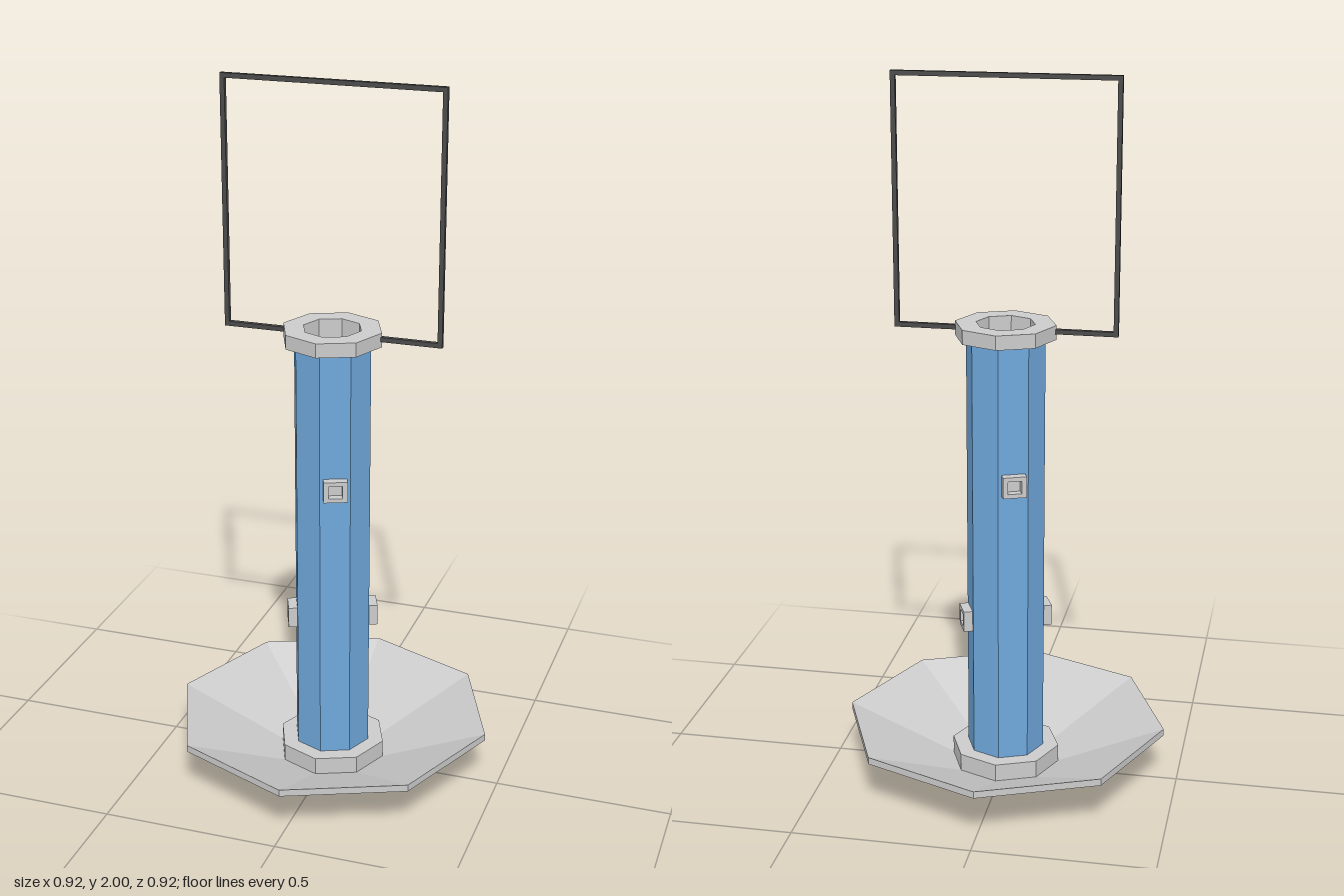
import * as THREE from 'three';

const SIDES = 8;
const grey = new THREE.MeshStandardMaterial({ color: 0xcccccc, flatShading: true });
const blue = new THREE.MeshStandardMaterial({ color: 0x6fa8dc, flatShading: true });
const dark = new THREE.MeshStandardMaterial({ color: 0x4a4a4a, flatShading: true });

export function createModel() {
  const model = new THREE.Group();
  model.name = 'hangingFeeder';

  const add = (name, geometry, material, parent = model) => {
    const mesh = new THREE.Mesh(geometry, material);
    mesh.name = name;
    parent.add(mesh);
    return mesh;
  };
  // Octagonal turned part; profile is [radius, y], outside going up
  const turned = (name, profile, material) =>
    add(name, new THREE.LatheGeometry(profile.map(([r, y]) => new THREE.Vector2(r, y)), SIDES), material);

  // Shallow tray with a thin upright rim
  turned('tray', [[0, 0], [0.2, 0], [0.46, 0.135], [0.46, 0.155], [0.155, 0.025], [0, 0.025]], grey);

  // Collar holding the tube on the tray
  turned('bottomCollar', [[0.155, 0.025], [0.155, 0.075], [0.1, 0.075]], grey);

  // Seed tube
  turned('tube', [[0.11, 0.05], [0.11, 1.3]], blue);

  // Top collar, open in the middle, with the tube lining and its floor
  turned('topCollar', [[0.1, 1.29], [0.14, 1.29], [0.14, 1.33], [0.082, 1.33], [0.082, 1.29]], grey);
  turned('tubeLining', [[0.082, 1.29], [0.082, 0.06], [0, 0.06]], grey);

  // Feeding ports: square frames on alternate facets, opposite pairs at two heights
  const frame = new THREE.Shape([
    [-0.033, -0.03], [0.033, -0.03], [0.033, 0.03], [-0.033, 0.03],
  ].map(([x, y]) => new THREE.Vector2(x, y)));
  frame.holes.push(new THREE.Path([
    [-0.019, -0.018], [-0.019, 0.018], [0.019, 0.018], [0.019, -0.018],
  ].map(([x, y]) => new THREE.Vector2(x, y))));
  const frameGeometry = new THREE.ExtrudeGeometry(frame, { depth: 0.037, bevelEnabled: false });

  for (let i = 0; i < 4; i++) {
    const port = new THREE.Group();
    port.name = 'feedingPort';
    port.rotation.y = Math.PI / 8 + (i * Math.PI) / 2;
    port.position.y = i % 2 ? 0.475 : 0.9;
    add('portFrame', frameGeometry, grey, port).position.z = 0.09;
    add('portBack', new THREE.BoxGeometry(0.04, 0.038, 0.015), grey, port).position.z = 0.097;
    model.add(port);
  }

  // Square wire hanger whose lower ends run into the top collar
  const hanger = new THREE.Group();
  hanger.name = 'hanger';
  const W = 0.013, HALF = 0.302, LOW = 1.313, HIGH = 2 - W / 2;
  add('hangerTop', new THREE.BoxGeometry(2 * HALF + W, W, W), dark, hanger).position.y = HIGH;
  for (const s of [-1, 1]) {
    add('hangerSide', new THREE.BoxGeometry(W, HIGH - LOW + W, W), dark, hanger)
      .position.set(s * HALF, (HIGH + LOW) / 2, 0);
    add('hangerEnd', new THREE.BoxGeometry(HALF - 0.11, W, W), dark, hanger)
      .position.set(s * (HALF + 0.11) / 2, LOW, 0);
  }
  model.add(hanger);

  return model;
}
